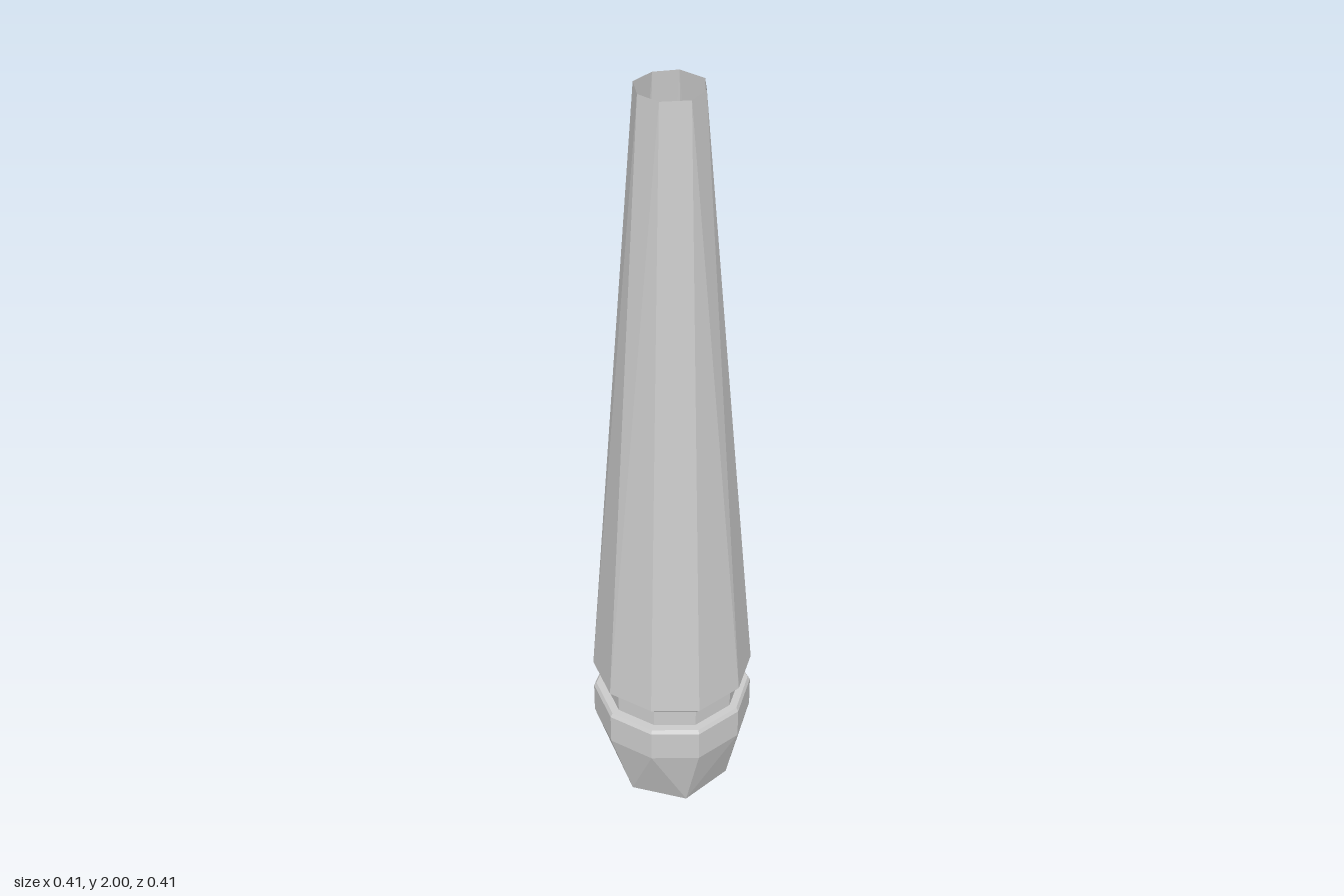
import * as THREE from 'three';

// Cross-sections as [radius, angle in degrees], each starting near +x and turning towards +z
const hexagon = [30, 90, 150, 210, 270, 330].map(a => [0.15, a]);
const decagon = toPolar([[0.203, 0.033], [0.14, 0.145], [0.02, 0.203], [-0.1, 0.175], [-0.188, 0.087],
  [-0.205, -0.042], [-0.14, -0.155], [-0.027, -0.206], [0.096, -0.187], [0.18, -0.09]]);
const octagon = toPolar([[0.065, 0.035], [0.022, 0.077], [-0.047, 0.068], [-0.083, 0.02],
  [-0.078, -0.043], [-0.027, -0.08], [0.033, -0.077], [0.076, -0.022]]);

function toPolar(points) {
  return points.map(([x, z]) => [Math.hypot(x, z), (Math.atan2(z, x) * 180 / Math.PI + 360) % 360]);
}

// One level of the loft: a section scaled and placed at a height
const ring = (section, scale, y) => ({ section: section.map(([r, a]) => [r * scale, a]), y });

// Skins neighbouring rings, which may have different numbers of corners
function loft(name, rings, material) {
  const positions = [];
  for (let k = 0; k + 1 < rings.length; k++) {
    const low = rings[k], high = rings[k + 1];
    const n = low.section.length, m = high.section.length;
    const angle = (s, i) => s[i % s.length][1] + 360 * Math.floor(i / s.length);
    const mid = (s, i) => angle(s, i) + angle(s, i + 1);
    const put = (level, i) => {
      const [r, a] = level.section[i % level.section.length];
      const t = a * Math.PI / 180;
      positions.push(r * Math.cos(t), level.y, r * Math.sin(t));
    };
    let i = 0, j = 0;
    while (i < n || j < m) {
      const stepLow = j === m || (i < n && mid(low.section, i) <= mid(high.section, j));
      put(low, i);
      put(high, j);
      if (stepLow) put(low, ++i);
      else put(high, ++j);
    }
  }
  const geometry = new THREE.BufferGeometry();
  geometry.setAttribute('position', new THREE.Float32BufferAttribute(positions, 3));
  geometry.computeVertexNormals();
  const mesh = new THREE.Mesh(geometry, material);
  mesh.name = name;
  return mesh;
}

export function createModel() {
  const group = new THREE.Group();
  group.name = 'taperedTube';
  const material = new THREE.MeshStandardMaterial({
    color: 0xcccccc, flatShading: true, side: THREE.DoubleSide,
  });

  // Flared foot, narrowing to an open six-sided end
  group.add(loft('foot', [
    ring(hexagon, 1, 0), ring(decagon, 1, 0.2), ring(decagon, 1, 0.285),
    ring(decagon, 0.97, 0.295), ring(decagon, 0.87, 0.295),
  ], material));

  // Recessed neck between foot and shaft
  group.add(loft('neck', [ring(decagon, 0.87, 0.295), ring(decagon, 0.87, 0.35)], material));

  // Long shaft with a bevelled lower lip and an open eight-sided top
  group.add(loft('shaft', [
    ring(decagon, 0.87, 0.35), ring(decagon, 0.91, 0.35),
    ring(decagon, 1, 0.368), ring(octagon, 1, 2),
  ], material));

  return group;
}
